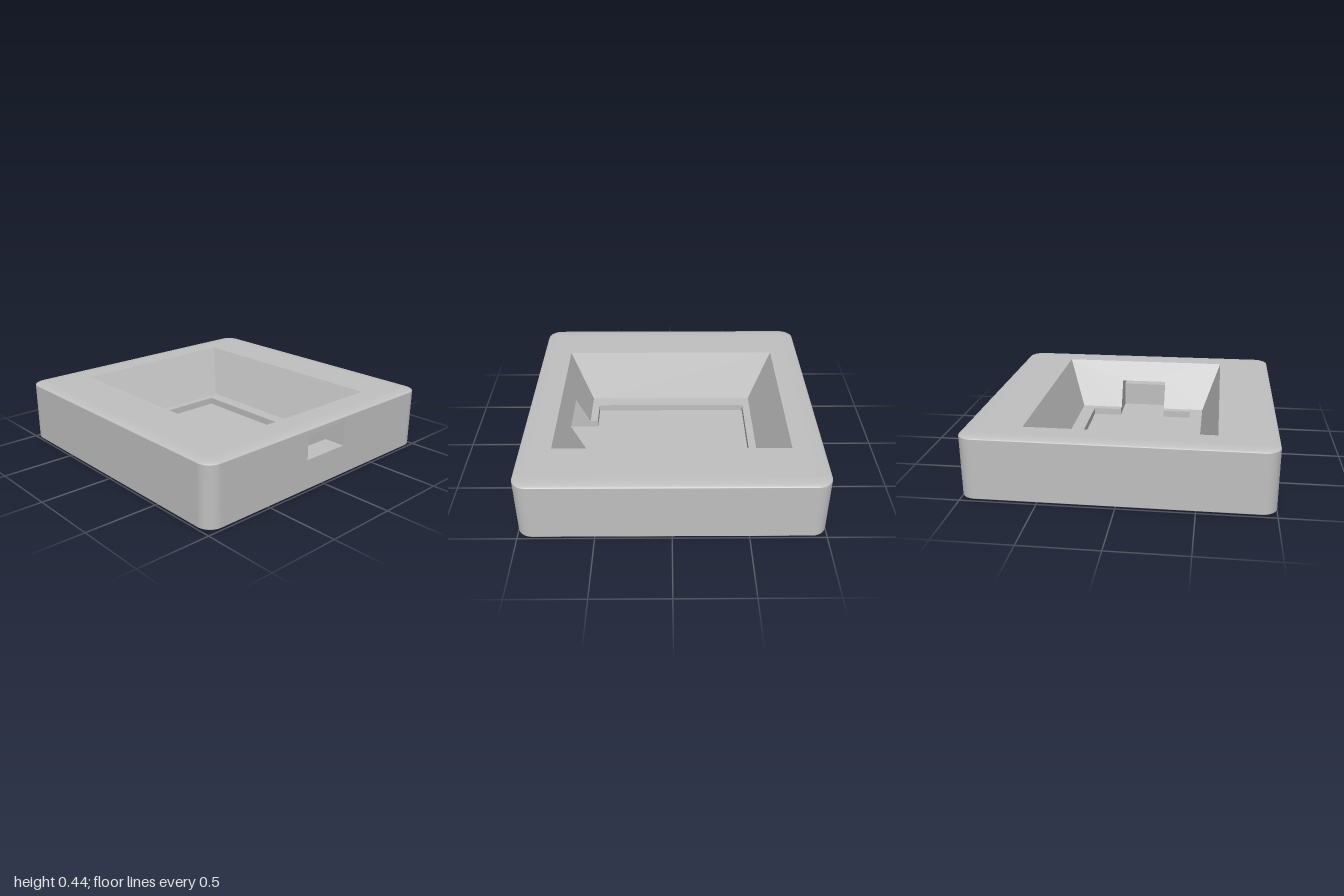
import * as THREE from 'three';

const H = 0.437;               // body height
const R = 0.1, RY = 0.018;     // edge rounding: horizontal and vertical radius
const LEDGE = 0.09, FLOOR = 0.04;
const TOP = [0.787, 0.62], LOW = [0.62, 0.49], POCKET = [0.565, 0.392];
const W = 0.175;               // half width of the cable port
const PORT_X = 0.85, PORT_LOW = 0.22, PORT_HIGH = 0.395, SLOT_HIGH = 0.29;

const V = (x, y, z) => new THREE.Vector3(x, y, z);
const rect = (a, b) => [[-a, -b], [a, -b], [a, b], [-a, b]];
const toPoints = (list) => list.map(([a, b]) => new THREE.Vector2(a, b));

// Flat polygon laid out on the axes u and v, facing u x v
function face(origin, u, v, outline, hole) {
  const shape = new THREE.Shape(toPoints(outline));
  if (hole) shape.holes.push(new THREE.Path(toPoints(hole)));
  const geo = new THREE.ShapeGeometry(shape);
  const n = u.clone().cross(v).normalize();
  geo.applyMatrix4(new THREE.Matrix4().makeBasis(u, v, n).setPosition(origin));
  geo.computeVertexNormals();
  return geo;
}

// Separate flat four-cornered faces
function quads(list) {
  const pts = list.flatMap(([a, b, c, d]) => [a, b, c, a, c, d]);
  const geo = new THREE.BufferGeometry().setFromPoints(pts);
  geo.computeVertexNormals();
  return geo;
}

// Sides of the body with softly rounded corners and edges; the right wall is left open
function roundedShell() {
  const N = 10, rings = [], pos = [], nor = [], index = [];
  for (let i = 0; i <= N; i++) rings.push([(i / N - 1) * Math.PI / 2, RY]);
  for (let i = 0; i <= N; i++) rings.push([(i / N) * Math.PI / 2, H - RY]);
  const count = 4 * (N + 1);
  for (const [phi, y] of rings) {
    for (let c = 0; c < 4; c++) {
      const cx = (c === 0 || c === 3 ? 1 : -1) * (1 - R);
      const cz = (c < 2 ? 1 : -1) * (1 - R);
      for (let k = 0; k <= N; k++) {
        const t = (c + k / N) * Math.PI / 2, r = Math.cos(phi);
        pos.push(cx + R * r * Math.cos(t), y + RY * Math.sin(phi), cz + R * r * Math.sin(t));
        const n = V(r * Math.cos(t) / R, Math.sin(phi) / RY, r * Math.sin(t) / R).normalize();
        nor.push(n.x, n.y, n.z);
      }
    }
  }
  for (let j = 0; j < rings.length - 1; j++) {
    for (let k = 0; k < count; k++) {
      if (j === N && k === count - 1) continue;
      const a = j * count + k, b = j * count + (k + 1) % count;
      index.push(a, a + count, b + count, a, b + count, b);
    }
  }
  const geo = new THREE.BufferGeometry();
  geo.setAttribute('position', new THREE.Float32BufferAttribute(pos, 3));
  geo.setAttribute('normal', new THREE.Float32BufferAttribute(nor, 3));
  geo.setIndex(index);
  return geo;
}

export function createModel() {
  const group = new THREE.Group();
  group.name = 'openEnclosure';
  const grey = new THREE.MeshStandardMaterial({ color: 0xc0c0c0, side: THREE.DoubleSide });
  grey.name = 'light grey';
  const add = (name, geo) => {
    const mesh = new THREE.Mesh(geo, grey);
    mesh.name = name;
    group.add(mesh);
    return mesh;
  };
  const X = V(1, 0, 0), Y = V(0, 1, 0), Z = V(0, 0, 1), back = V(0, 0, -1);
  const inner = 1 - R;

  // Outer body
  add('outerShell', roundedShell());
  add('base', face(V(0, 0, 0), X, Z, rect(inner, inner)));
  add('topRim', face(V(0, H, 0), X, back, rect(inner, inner), rect(...TOP)));
  add('portWall', face(V(1, 0, 0), back, Y,
    [[-inner, RY], [inner, RY], [inner, H - RY], [-inner, H - RY]],
    [[-W, PORT_LOW], [W, PORT_LOW], [W, PORT_HIGH], [-W, PORT_HIGH]]));

  // Sloping walls of the opening; the right one is notched for the cable slot
  const signs = [[1, 1], [-1, 1], [-1, -1], [1, -1]];
  const corner = ([x, z], [sx, sz], y) => V(x * sx, y, z * sz);
  add('slopingWalls', quads([0, 1, 2].map((i) => [
    corner(LOW, signs[i], LEDGE), corner(LOW, signs[i + 1], LEDGE),
    corner(TOP, signs[i + 1], H), corner(TOP, signs[i], H)])));
  const notch = (SLOT_HIGH - LEDGE) / (H - LEDGE);
  add('notchedSlopingWall', face(V(LOW[0], LEDGE, 0), Z, V(TOP[0] - LOW[0], H - LEDGE, 0), [
    [-LOW[1], 0], [-W, 0], [-W, notch], [W, notch], [W, 0],
    [LOW[1], 0], [TOP[1], 1], [-TOP[1], 1]]));

  // Ledge around the recessed pocket
  const [lx, lz] = LOW, [px, pz] = POCKET;
  add('ledge', face(V(0, LEDGE, 0), X, back, [
    [lx, W], [lx, lz], [-lx, lz], [-lx, -lz], [lx, -lz], [lx, -W],
    [px, -W], [px, -pz], [-px, -pz], [-px, pz], [px, pz], [px, W]]));

  // Pocket
  add('pocketFloor', face(V(0, FLOOR, 0), X, back, rect(px, pz)));
  const edge = [[px, W], [px, pz], [-px, pz], [-px, -pz], [px, -pz], [px, -W]];
  add('pocketWalls', quads(edge.slice(1).map(([x, z], i) => [
    V(edge[i][0], FLOOR, edge[i][1]), V(x, FLOOR, z),
    V(x, LEDGE, z), V(edge[i][0], LEDGE, edge[i][1])])));

  // Stepped cable port running from the pocket out through the right wall
  const slopeX = lx + (TOP[0] - lx) * notch;
  const profile = [
    [px, FLOOR], [PORT_X, FLOOR], [PORT_X, PORT_LOW], [1, PORT_LOW], [1, PORT_HIGH],
    [PORT_X, PORT_HIGH], [PORT_X, SLOT_HIGH], [slopeX, SLOT_HIGH], [lx, LEDGE], [px, LEDGE]];
  for (const side of [1, -1]) {
    const wall = add(side > 0 ? 'portBackSide' : 'portFrontSide', face(V(0, 0, -W), X, Y, profile));
    wall.scale.z = side;
  }
  add('portSteps', quads([0, 1, 2, 4, 5, 6].map((i) => {
    const [a, b] = [profile[i], profile[i + 1]];
    return [V(...a, W), V(...b, W), V(...b, -W), V(...a, -W)];
  })));

  return group;
}
